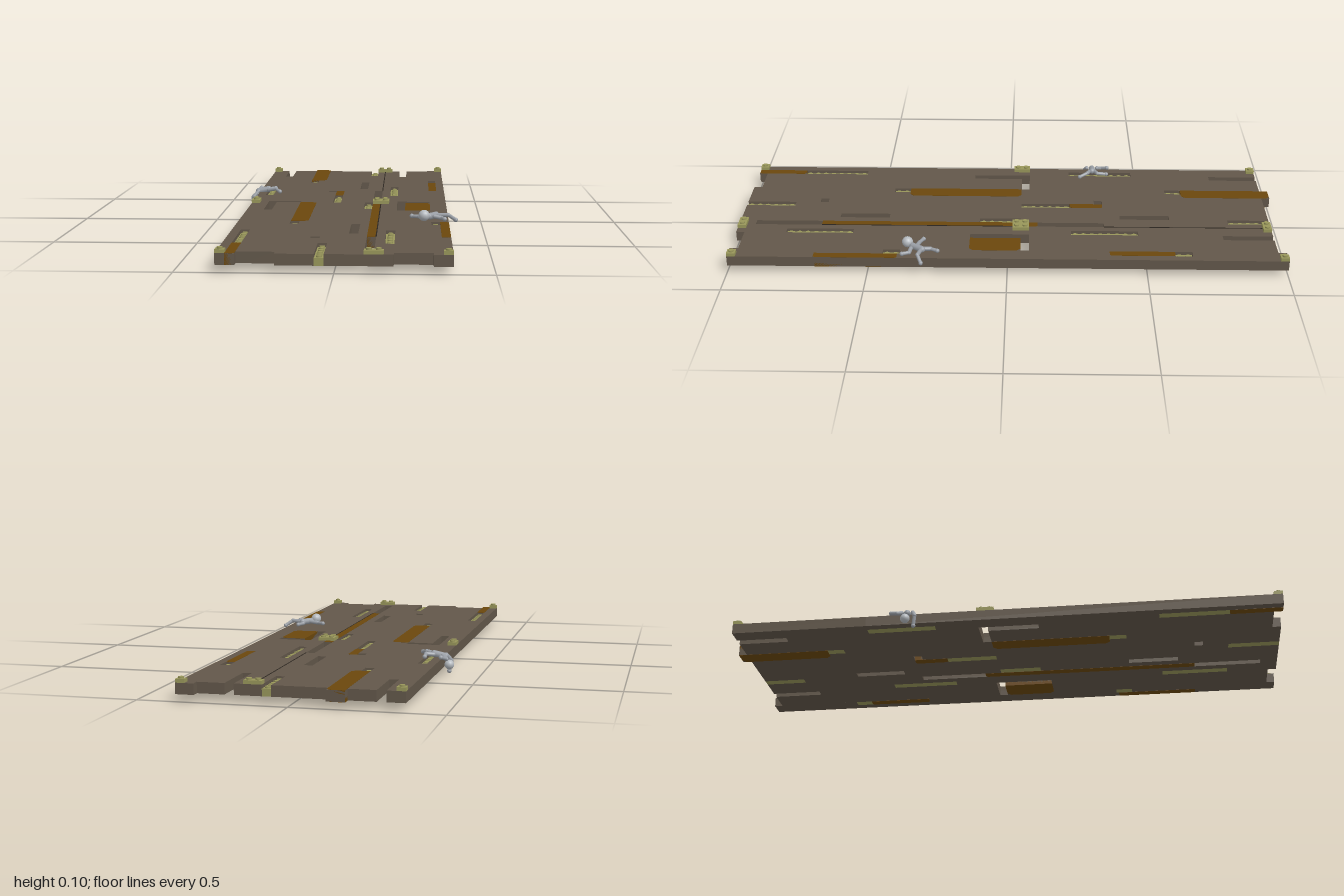
import * as THREE from 'three';
import { mergeGeometries } from 'three/addons/utils/BufferGeometryUtils.js';

const U = 2 / 65;              // one grid cell
const COLS = 24, ROWS = 65;
const BASE = 0.0246, PLATE = 0.0123, TOP = BASE + 3 * PLATE;
const gx = c => (c - COLS / 2) * U;
const gz = r => r * U - 1;

const mat = (name, color) => {
  const m = new THREE.MeshStandardMaterial({ color });
  m.name = name;
  return m;
};

// Cell rectangles: [col0, col1, row0, row1]
const openings = [
  [2, 6, 0, 1], [2, 3, 1, 7], [18, 22, 0, 1], [18, 19, 1, 7],
  [0, 2, 0, 1], [8, 18, 0, 1],
  [2, 6, 30, 31], [2, 3, 31, 37], [18, 22, 30, 31], [18, 19, 31, 37],
  [13, 14, 13, 19], [9, 10, 21, 22], [15, 16, 21, 29],
  [13, 14, 47, 53], [9, 10, 55, 56], [15, 16, 55, 63],
  [2, 6, 64, 65], [18, 22, 64, 65]
];
const sunken = [[14, 15, 1, 6], [10, 11, 25, 31], [14, 15, 31, 36], [10, 11, 59, 65]];
for (const shift of [0, 34]) {
  sunken.push([6, 7, 11 + shift, 13 + shift], [22, 23, 11 + shift, 13 + shift],
    [1, 2, 17 + shift, 25 + shift], [17, 18, 17 + shift, 25 + shift]);
}
const raised = [
  [0, 1, 1, 2], [15, 17, 1, 2], [23, 24, 0, 1], [0, 1, 30, 32], [15, 17, 30, 32],
  [0, 1, 64, 65], [15, 17, 64, 65], [23, 24, 64, 65]
];
const rusty = [
  [6, 8, 0, 11], [6, 8, 31, 45], [22, 23, 13, 20.6], [10, 11, 21, 25],
  [15, 16, 29, 55], [19, 22, 31, 37], [23, 24, 45.3, 55], [1, 2, 59, 65]
];

function block([c0, c1, r0, r1], y0, y1) {
  return new THREE.BoxGeometry((c1 - c0) * U, y1 - y0, (r1 - r0) * U)
    .translate(gx((c0 + c1) / 2), (y0 + y1) / 2, gz((r0 + r1) / 2));
}

// One round stud on each cell of a rectangle
function studs([c0, c1, r0, r1], y) {
  const list = [];
  for (let c = c0; c < c1; c++) for (let r = r0; r < r1; r++) {
    list.push(new THREE.CylinderGeometry(0.3 * U, 0.3 * U, 0.2 * U, 14)
      .translate(gx(c + 0.5), y + 0.1 * U, gz(r + 0.5)));
  }
  return list;
}

// Deck: merge the uncut cells into as few boxes as possible
function deckGeometry() {
  const used = Array.from({ length: ROWS }, () => new Array(COLS).fill(false));
  for (const [c0, c1, r0, r1] of [...openings, ...sunken])
    for (let r = r0; r < r1; r++) for (let c = c0; c < c1; c++) used[r][c] = true;
  const boxes = [];
  for (let r = 0; r < ROWS; r++) for (let c = 0; c < COLS; c++) {
    if (used[r][c]) continue;
    let c1 = c, r1 = r + 1;
    while (c1 < COLS && !used[r][c1]) c1++;
    while (r1 < ROWS && used[r1].slice(c, c1).every(v => !v)) r1++;
    for (let i = r; i < r1; i++) used[i].fill(true, c, c1);
    boxes.push(block([c, c1, r, r1], BASE, TOP));
  }
  return mergeGeometries(boxes);
}

// Rusty inlay with its right-hand corners cut off
function inlayGeometry([c0, c1, r0, r1]) {
  const x0 = gx(c0), x1 = gx(c1), z0 = gz(r0), z1 = gz(r1);
  const k = c1 - c0 > 1 ? 0.45 * U : 0.2 * U;
  const s = new THREE.Shape([
    [x0, -z0], [x0, -z1], [x1 - k, -z1], [x1, -z1 + k], [x1, -z0 - k], [x1 - k, -z0]
  ].map(p => new THREE.Vector2(...p)));
  return new THREE.ExtrudeGeometry(s, { depth: TOP - BASE + 0.0012, bevelEnabled: false })
    .rotateX(-Math.PI / 2).translate(0, BASE - 0.0006, 0);
}

function limb(a, b, r) {
  const A = new THREE.Vector3(...a), B = new THREE.Vector3(...b);
  const dir = B.clone().sub(A), len = dir.length();
  const q = new THREE.Quaternion().setFromUnitVectors(new THREE.Vector3(0, 1, 0), dir.normalize());
  const mid = A.add(B).multiplyScalar(0.5);
  return new THREE.CapsuleGeometry(r, len, 4, 10).applyQuaternion(q).translate(mid.x, mid.y, mid.z);
}

// A lying figure; each limb is a chain of joints
function figure(name, { torso, head, headRadius, limbs }, bodyMat, headMat) {
  const g = new THREE.Group();
  g.name = name;
  const add = (part, geo, m) => {
    const mesh = new THREE.Mesh(geo, m);
    mesh.name = part;
    g.add(mesh);
  };
  add('torso', limb(torso[0], torso[1], 0.012), bodyMat);
  add('head', new THREE.SphereGeometry(headRadius, 16, 12).translate(...head), headMat);
  limbs.forEach((chain, n) => {
    const parts = [];
    for (let i = 0; i + 1 < chain.length; i++) parts.push(limb(chain[i], chain[i + 1], 0.0075 - i * 0.001));
    parts.push(new THREE.SphereGeometry(0.008, 10, 8).translate(...chain[chain.length - 1]));
    add(n < 2 ? 'arm' : 'leg', mergeGeometries(parts), bodyMat);
  });
  return g;
}

export function createModel() {
  const brown = mat('deckBrown', 0x62574a);
  const rust = mat('rust', 0x6b470c);
  const olive = mat('olive', 0x98965a);
  const dark = mat('seamDark', 0x2c2620);
  const grey = mat('figureGrey', 0x9a9fa6);
  const pale = mat('headGrey', 0xb4b9be);
  const model = new THREE.Group();
  const add = (name, geo, m) => {
    const mesh = new THREE.Mesh(geo, m);
    mesh.name = name;
    model.add(mesh);
  };

  add('deck', deckGeometry(), brown);
  rusty.forEach(r => add('rustInlay', inlayGeometry(r), rust));

  // Studded strips set low in the deck, and connector plates on top of it
  for (const s of sunken) {
    const y = BASE + 2 * PLATE;
    add('sunkenStrip', mergeGeometries([block(s, BASE, y), ...studs(s, y)]), olive);
  }
  for (const s of raised) {
    const y = TOP + PLATE;
    add('connectorPlate', mergeGeometries([block(s, TOP, y), ...studs(s, y)]), olive);
  }

  // Long seam along the deck
  for (const [r0, r1] of [[2, 21], [32, 55]])
    add('seam', block([15.92, 16.04, r0, r1], TOP, TOP + 0.0009), dark);

  model.add(figure('frontFigure', {
    torso: [[0.3, 0.073, 0.34], [0.325, 0.073, 0.305]],
    head: [0.283, 0.08, 0.36], headRadius: 0.02,
    limbs: [
      [[0.297, 0.072, 0.325], [0.265, 0.069, 0.318], [0.24, 0.069, 0.305]],
      [[0.32, 0.074, 0.345], [0.345, 0.07, 0.35], [0.355, 0.07, 0.375]],
      [[0.318, 0.071, 0.3], [0.315, 0.07, 0.275], [0.328, 0.069, 0.25]],
      [[0.335, 0.073, 0.31], [0.37, 0.075, 0.318], [0.396, 0.056, 0.305]]
    ]
  }, grey, pale));

  model.add(figure('backFigure', {
    torso: [[-0.335, 0.072, -0.325], [-0.375, 0.064, -0.325]],
    head: [-0.39, 0.036, -0.33], headRadius: 0.017,
    limbs: [
      [[-0.375, 0.066, -0.305], [-0.392, 0.045, -0.295], [-0.385, 0.008, -0.3]],
      [[-0.37, 0.068, -0.345], [-0.385, 0.06, -0.36], [-0.37, 0.069, -0.385]],
      [[-0.335, 0.07, -0.315], [-0.305, 0.076, -0.305], [-0.286, 0.069, -0.275]],
      [[-0.335, 0.07, -0.335], [-0.31, 0.073, -0.345], [-0.312, 0.069, -0.38]]
    ]
  }, grey, pale));

  return model;
}
